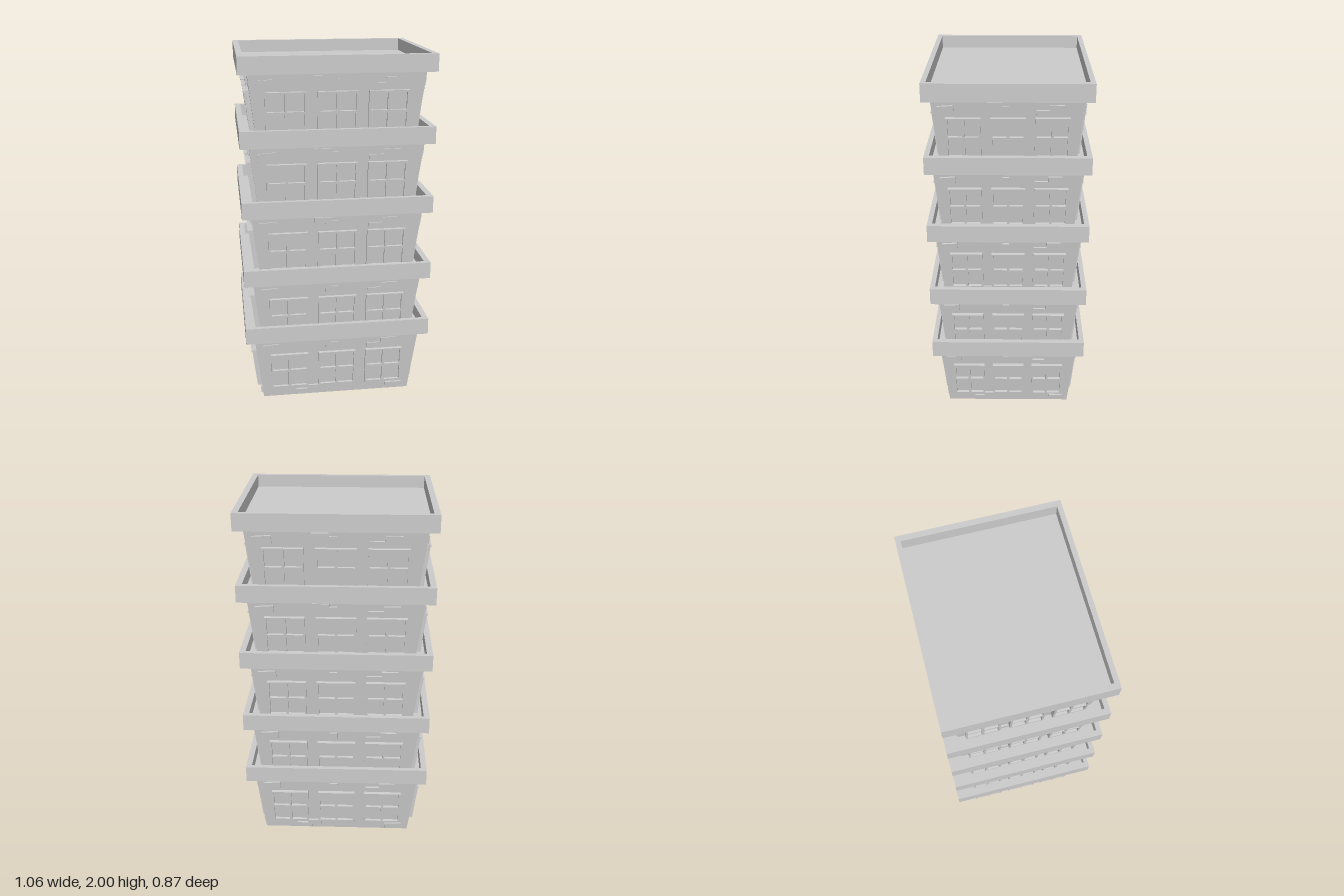
import * as THREE from 'three';

const material = new THREE.MeshStandardMaterial({ color: 0xcccccc, flatShading: true });
const BASE = { x: 0.432, z: 0.354 }, TOP = { x: 0.478, z: 0.394 }, WALL_H = 0.39;
const RIM_BOTTOM = 0.385, RIM_H = 0.095;
const STOREY_Y = [0, 0.35, 0.742, 1.132, 1.52];

// Loose bricks on each wall: centre u, centre y, width, height, tilt
const BRICKS = [
  [-0.384, 0.332, 0.100, 0.045, 0.07],
  [-0.082, 0.357, 0.092, 0.032, 0],
  [-0.032, 0.336, 0.076, 0.036, 0],
  [0.230, 0.318, 0.115, 0.026, 0],
  [0.300, 0.345, 0.090, 0.030, 0],
  [-0.134, 0.047, 0.080, 0.034, 0],
  [-0.195, 0.026, 0.090, 0.032, 0],
  [0.343, 0.030, 0.098, 0.036, 0],
];

function add(parent, name, geometry, x = 0, y = 0, z = 0) {
  const mesh = new THREE.Mesh(geometry, material);
  mesh.name = name;
  mesh.position.set(x, y, z);
  parent.add(mesh);
  return mesh;
}

function rectangle(target, x0, y0, x1, y1) {
  target.moveTo(x0, y0);
  target.lineTo(x1, y0);
  target.lineTo(x1, y1);
  target.lineTo(x0, y1);
  target.closePath();
  return target;
}

// Storey walls, a box widening towards the top
function wallsGeometry() {
  const g = new THREE.BoxGeometry(2, WALL_H, 2).translate(0, WALL_H / 2, 0);
  const p = g.attributes.position;
  for (let i = 0; i < p.count; i++) {
    const size = p.getY(i) > 0.1 ? TOP : BASE;
    p.setX(i, p.getX(i) * size.x);
    p.setZ(i, p.getZ(i) * size.z);
  }
  g.computeVertexNormals();
  return g;
}

// Hollow parapet ring
function rimGeometry() {
  const shape = rectangle(new THREE.Shape(), -0.528, -0.434, 0.528, 0.434);
  shape.holes.push(rectangle(new THREE.Path(), -0.495, -0.407, 0.495, 0.407));
  return new THREE.ExtrudeGeometry(shape, { depth: RIM_H, bevelEnabled: false }).rotateX(-Math.PI / 2);
}

// Window frame with four openings
function frameGeometry(w, h, depth) {
  const bar = 0.011, mid = 0.007;
  const shape = rectangle(new THREE.Shape(), -w / 2, -h / 2, w / 2, h / 2);
  for (const sx of [-1, 1]) for (const sy of [-1, 1]) {
    const xs = [sx * mid, sx * (w / 2 - bar)].sort((a, b) => a - b);
    const ys = [sy * mid, sy * (h / 2 - bar)].sort((a, b) => a - b);
    shape.holes.push(rectangle(new THREE.Path(), xs[0], ys[0], xs[1], ys[1]));
  }
  return new THREE.ExtrudeGeometry(shape, { depth: depth + 0.01, bevelEnabled: false }).translate(0, 0, -0.01);
}

// One decorated wall, leaning outwards
function createFace({ name, turn, axis, scale, windowDepth, topBrick }) {
  const turned = new THREE.Group();
  turned.name = name;
  turned.rotation.y = turn;
  const face = new THREE.Group();
  face.name = name + 'Details';
  face.position.z = BASE[axis];
  face.rotation.x = Math.atan2(TOP[axis] - BASE[axis], WALL_H);
  turned.add(face);

  const frame = frameGeometry(0.218 * scale, 0.228, windowDepth);
  for (const u of [-0.278, 0, 0.276]) {
    add(face, 'windowFrame', frame, u * scale, 0.176, 0);
    add(face, 'windowLintel', new THREE.BoxGeometry(0.218 * scale, 0.008, 0.01), u * scale, 0.287, windowDepth);
  }
  for (const [u, y, w, h, tilt] of BRICKS) {
    const out = y > 0.2 ? topBrick : 0.011;
    const brick = add(face, 'brick', new THREE.BoxGeometry(w * scale, h, 0.02), u * scale, y, out - 0.01);
    brick.rotation.z = tilt;
  }
  return turned;
}

const FACES = [
  { name: 'frontWall', turn: 0, axis: 'z', scale: 1, windowDepth: 0.014, topBrick: 0.006 },
  { name: 'rightWall', turn: Math.PI / 2, axis: 'x', scale: 0.825, windowDepth: 0.016, topBrick: 0.011 },
  { name: 'backWall', turn: Math.PI, axis: 'z', scale: 1, windowDepth: 0.016, topBrick: 0.011 },
  { name: 'leftWall', turn: -Math.PI / 2, axis: 'x', scale: 0.825, windowDepth: 0.026, topBrick: 0.011 },
];

export function createModel() {
  const tower = new THREE.Group();
  tower.name = 'tower';
  STOREY_Y.forEach((y, i) => {
    const storey = new THREE.Group();
    storey.name = 'storey' + (i + 1);
    storey.position.y = y;
    add(storey, 'walls', wallsGeometry());
    add(storey, 'parapet', rimGeometry(), 0, RIM_BOTTOM, 0);
    add(storey, 'roofSlab', new THREE.BoxGeometry(0.99, 0.025, 0.814), 0, RIM_BOTTOM + 0.0125, 0);
    for (const options of FACES) storey.add(createFace(options));
    tower.add(storey);
  });
  return tower;
}
